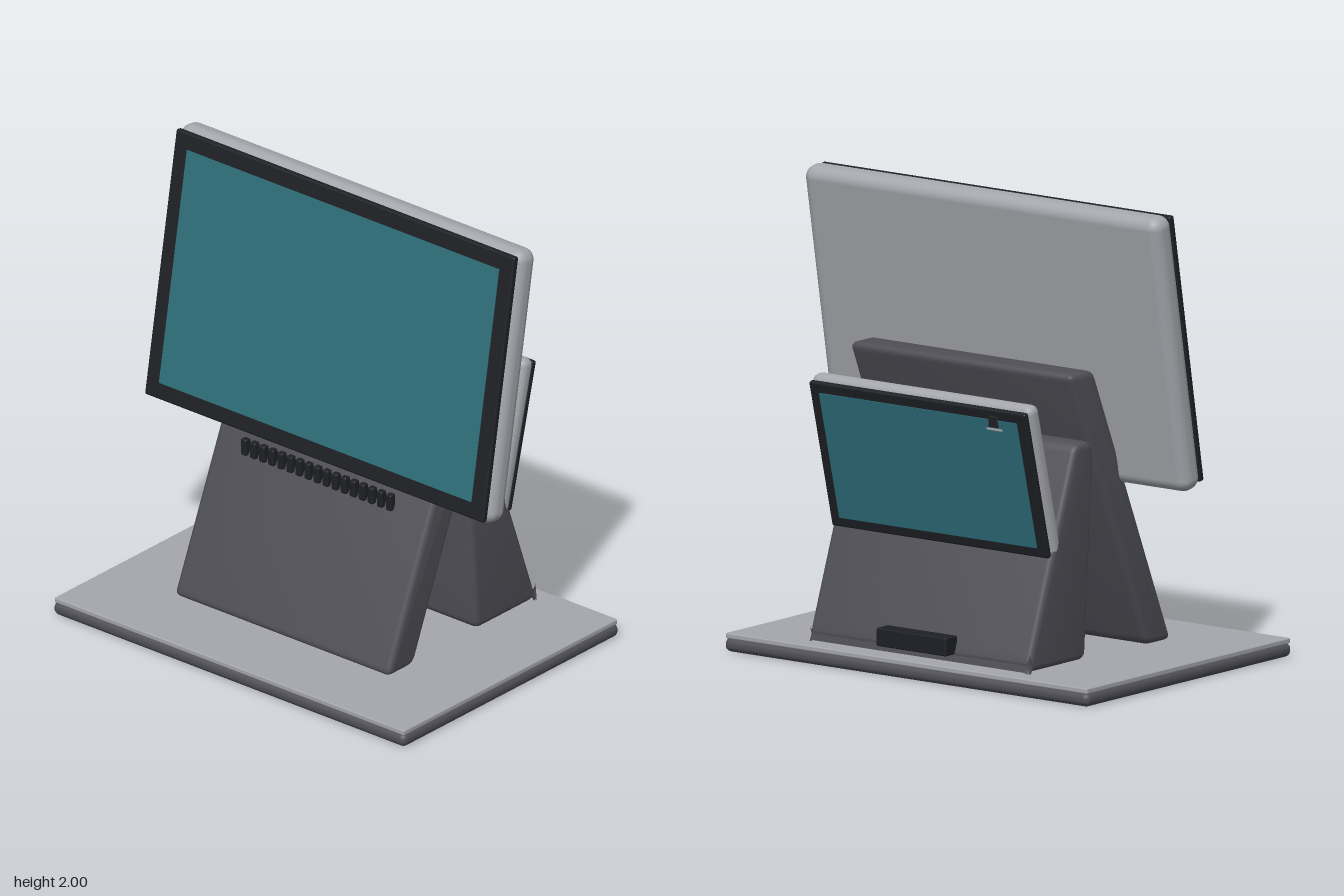
import * as THREE from 'three';
import { RoundedBoxGeometry } from 'three/addons/geometries/RoundedBoxGeometry.js';
import { toCreasedNormals } from 'three/addons/utils/BufferGeometryUtils.js';

const mat = (color) => new THREE.MeshStandardMaterial({ color });
const silver = mat(0xa4a6ac), charcoal = mat(0x504f57), black = mat(0x1e2025), teal = mat(0x2f6f7b);

function add(parent, name, geometry, material, x = 0, y = 0, z = 0) {
  const mesh = new THREE.Mesh(geometry, material);
  mesh.name = name;
  mesh.position.set(x, y, z);
  parent.add(mesh);
  return mesh;
}

const rounded = (w, h, d, r, seg = 4) => new RoundedBoxGeometry(w, h, d, seg, r);

// Closed outline with every corner rounded by r
function roundedOutline(points, r) {
  const p = points.map(([a, b]) => new THREE.Vector2(a, b));
  const shape = new THREE.Shape();
  p.forEach((c, i) => {
    const prev = p[(i + p.length - 1) % p.length], next = p[(i + 1) % p.length];
    const a = c.clone().add(prev.clone().sub(c).setLength(r));
    const b = c.clone().add(next.clone().sub(c).setLength(r));
    if (i === 0) shape.moveTo(a.x, a.y); else shape.lineTo(a.x, a.y);
    shape.quadraticCurveTo(c.x, c.y, b.x, b.y);
  });
  shape.closePath();
  return shape;
}

// Side profile given as [z, y], extruded across x with soft edges
function profileSolid(points, width) {
  const bevel = 0.025;
  const geo = new THREE.ExtrudeGeometry(roundedOutline(points, 0.04), {
    depth: width - 2 * bevel, bevelThickness: bevel, bevelSize: bevel,
    bevelOffset: -bevel, bevelSegments: 3, curveSegments: 5,
  });
  geo.translate(0, 0, -(width - 2 * bevel) / 2);
  geo.rotateY(-Math.PI / 2);
  return toCreasedNormals(geo, 0.6);
}

// Tilted display: shell, bezel and screen; dir is +1 facing front, -1 facing back
function display(name, o) {
  const g = new THREE.Group();
  g.name = name;
  add(g, 'shell', rounded(...o.shell, o.radius, 5), silver);
  const bezelZ = o.dir * (o.shell[2] / 2 + o.bezel[2] / 2 - 0.006);
  add(g, 'bezel', rounded(...o.bezel, 0.01, 3), black, 0, 0, bezelZ);
  const screenZ = bezelZ + o.dir * (o.bezel[2] / 2 - 0.001);
  add(g, 'screen', new THREE.BoxGeometry(...o.screen, 0.008), teal, 0, 0, screenZ);
  g.position.set(0, o.y, o.z);
  g.rotation.x = -THREE.MathUtils.degToRad(o.tilt);
  return g;
}

export function createModel() {
  const model = new THREE.Group();
  model.name = 'doubleSidedTerminal';

  // Base and top plate
  add(model, 'base', rounded(1.935, 0.06, 1.39, 0.028), charcoal, 0, 0.03, 0);
  add(model, 'basePlate', rounded(1.92, 0.024, 1.375, 0.006, 2), silver, 0, 0.068, 0);

  // Leaning front leg and wedge-shaped rear housing
  add(model, 'frontLeg', profileSolid(
    [[0.36, 0.08], [0.185, 0.08], [-0.33, 1.31], [-0.165, 1.31]], 1.18), charcoal);
  add(model, 'rearHousing', profileSolid(
    [[-0.215, 0.085], [-0.605, 0.085], [-0.6, 0.125], [-0.285, 1.01], [-0.155, 1.01]], 1.17), charcoal);

  // Main display at the front, small customer display at the back
  model.add(display('mainDisplay', {
    shell: [1.89, 1.217, 0.12], radius: 0.052, bezel: [1.86, 1.18, 0.03],
    screen: [1.715, 1.035], dir: 1, y: 1.4, z: -0.04, tilt: 10,
  }));
  model.add(display('customerDisplay', {
    shell: [1.17, 0.69, 0.076], radius: 0.034, bezel: [1.15, 0.66, 0.027],
    screen: [1.05, 0.57], dir: -1, y: 0.882, z: -0.482, tilt: 14,
  }));

  // Row of vent ribs under the main display
  const ribs = new THREE.Group();
  ribs.name = 'ventRibs';
  for (let i = 0; i < 17; i++) {
    add(ribs, 'ventRib', rounded(0.032, 0.076, 0.032, 0.008, 2), black, -0.415 + i * 0.0497, 0.737, 0.095);
  }
  model.add(ribs);

  // Camera and small light bar on the customer display
  add(model, 'camera', rounded(0.05, 0.05, 0.035, 0.006, 2), black, -0.4, 1.137, -0.597);
  add(model, 'lightBar', rounded(0.09, 0.022, 0.02, 0.006, 2), silver, -0.4, 1.105, -0.592);

  // Connector block at the back
  add(model, 'connectorBlock', rounded(0.37, 0.078, 0.08, 0.006, 2), black, -0.003, 0.155, -0.62);

  return model;
}
